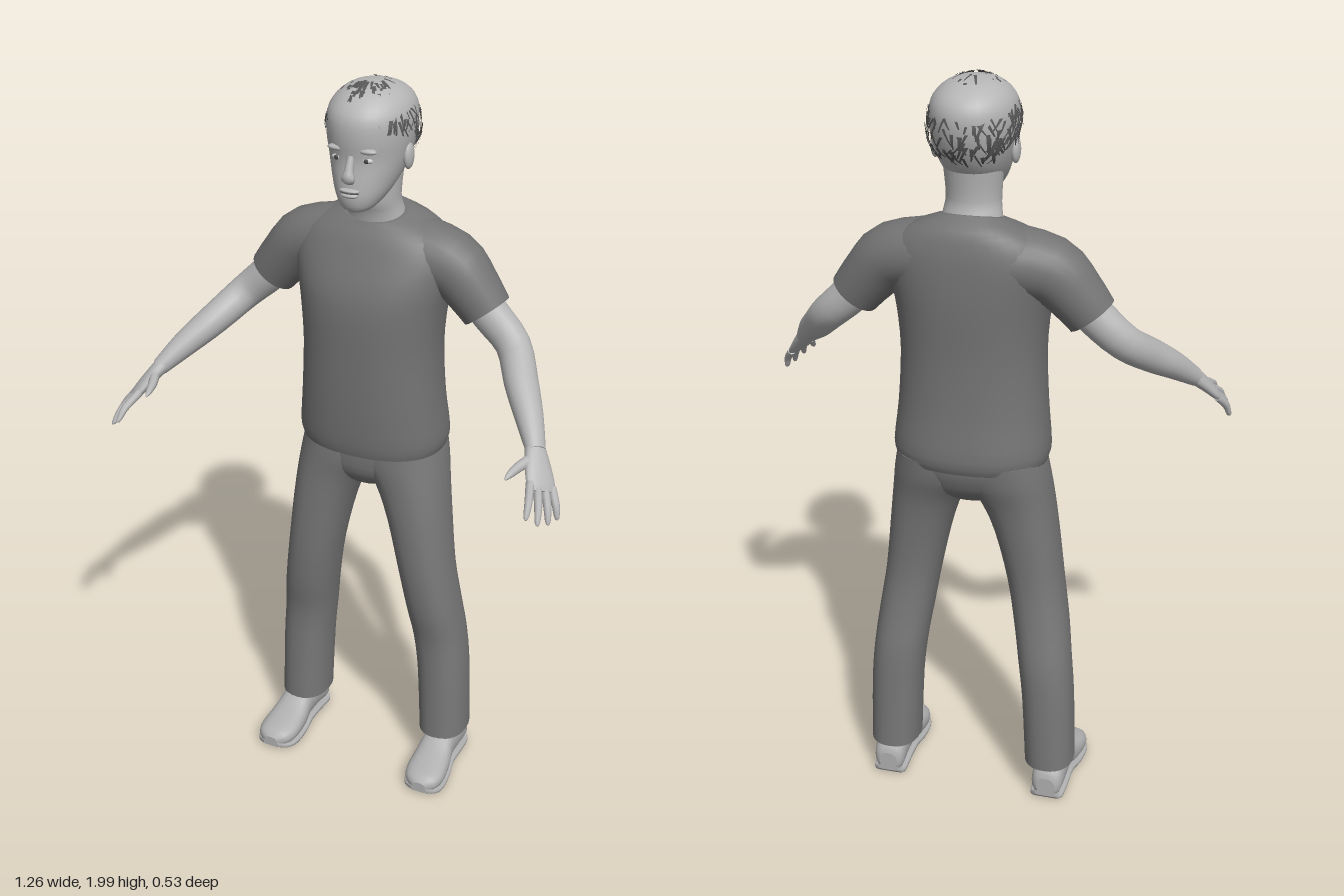
import * as THREE from 'three';

const mat = (name, color, side = THREE.FrontSide) => {
  const m = new THREE.MeshStandardMaterial({ color, side });
  m.name = name;
  return m;
};
const V = (x, y, z) => new THREE.Vector3(x, y, z);

// Resample rows of numbers with a spline so that few rows give smooth forms
function smooth(rows, k = 3) {
  const out = [];
  const n = rows.length;
  const at = i => rows[Math.max(0, Math.min(n - 1, i))];
  for (let i = 0; i < n - 1; i++) {
    for (let s = 0; s < k; s++) {
      const t = s / k;
      out.push(rows[i].map((p1, c) => {
        const p0 = at(i - 1)[c], p2 = at(i + 1)[c], p3 = at(i + 2)[c];
        return p1 + 0.5 * t * (p2 - p0 + t * (2 * p0 - 5 * p1 + 4 * p2 - p3 + t * (3 * (p1 - p2) + p3 - p0)));
      }));
    }
  }
  out.push(rows[n - 1]);
  return out;
}

// Skin over rounded rings { c, u, v } with closed ends; u x v points along the loft
function loft(rings, seg = 24, e = 2) {
  const pos = [], idx = [];
  const bend = a => Math.sign(a) * Math.pow(Math.abs(a), 2 / e);
  const addRing = r => {
    for (let j = 0; j < seg; j++) {
      const a = j / seg * Math.PI * 2;
      pos.push(...r.c.clone().addScaledVector(r.u, bend(Math.cos(a))).addScaledVector(r.v, bend(Math.sin(a))).toArray());
    }
  };
  rings.forEach(addRing);
  for (let i = 0; i < rings.length - 1; i++) {
    for (let j = 0; j < seg; j++) {
      const a = i * seg + j, b = i * seg + (j + 1) % seg;
      idx.push(a, b, b + seg, a, b + seg, a + seg);
    }
  }
  [rings[0], rings[rings.length - 1]].forEach((r, end) => {
    const s = pos.length / 3;
    addRing(r);
    pos.push(...r.c.toArray());
    for (let j = 0; j < seg; j++) {
      const a = s + j, b = s + (j + 1) % seg;
      idx.push(s + seg, end ? a : b, end ? b : a);
    }
  });
  const g = new THREE.BufferGeometry();
  g.setAttribute('position', new THREE.Float32BufferAttribute(pos, 3));
  g.setIndex(idx);
  g.computeVertexNormals();
  return g;
}

// Upright form from rows [y, xMin, xMax, zFront, zBack, tilt]
const upright = (rows, e = 2, seg = 32) => loft(smooth(rows).map(([y, x0, x1, zf, zb, tilt]) => ({
  c: V((x0 + x1) / 2, y, (zf + zb) / 2), u: V(0, tilt, (zf - zb) / 2), v: V((x1 - x0) / 2, 0, 0),
})), seg, e);

// Limb along points [x, y, z, radius along hint, other radius]
function limb(points, hint, seg = 16, k = 3) {
  const p = smooth(points, k), n = p.length;
  return loft(p.map((q, i) => {
    const a = p[Math.max(0, i - 1)], b = p[Math.min(n - 1, i + 1)];
    const t = V(b[0] - a[0], b[1] - a[1], b[2] - a[2]).normalize();
    const u = hint.clone().addScaledVector(t, -hint.dot(t)).normalize();
    const v = t.clone().cross(u).multiplyScalar(q[4]);
    return { c: V(q[0], q[1], q[2]), u: u.multiplyScalar(q[3]), v };
  }), seg);
}

// Mirrored copy of a geometry across x
function mirror(geo) {
  const g = geo.clone().scale(-1, 1, 1);
  const ix = g.index.array;
  for (let i = 0; i < ix.length; i += 3) [ix[i], ix[i + 1]] = [ix[i + 1], ix[i]];
  g.computeVertexNormals();
  return g;
}

const ball = (x, y, z, rx, ry, rz) => new THREE.SphereGeometry(1, 16, 12).scale(rx, ry, rz).translate(x, y, z);

// Short hair locks scattered over the crown
function hairLocks(count) {
  let seed = 7;
  const rnd = () => (seed = (seed * 16807) % 2147483647) / 2147483647;
  const pos = [], idx = [], steps = 4;
  const point = (th, ph, lift) => V(Math.sin(th) * Math.sin(ph) * 0.117 * lift,
    1.873 + Math.cos(th) * 0.123 * lift, -0.092 + Math.sin(th) * Math.cos(ph) * 0.14 * lift);
  for (let i = 0; i < count; i++) {
    const ph = rnd() * Math.PI * 2;
    const limit = 1.15 + 0.57 * (1 - Math.cos(ph));
    const th = 0.05 + limit * Math.sqrt(rnd()) * 0.88;
    const turn = (rnd() - 0.5) * 0.5, len = 0.2 + rnd() * 0.2, wide = 0.003 + rnd() * 0.003;
    const lift = 0.97 + rnd() * 0.045, s = pos.length / 3;
    for (let k = 0; k <= steps; k++) {
      const t = k / steps, a = Math.min(th + len * t, limit + 0.08), b = ph + turn * t;
      const c = point(a, b, lift - 0.03 * t * t);
      const side = V(Math.cos(b), 0, -Math.sin(b)).multiplyScalar(wide * (1 - 0.6 * t));
      pos.push(...c.clone().sub(side).toArray(), ...c.clone().add(side).toArray());
      if (k < steps) {
        const q = s + k * 2;
        idx.push(q, q + 2, q + 1, q + 1, q + 2, q + 3);
      }
    }
  }
  const g = new THREE.BufferGeometry();
  g.setAttribute('position', new THREE.Float32BufferAttribute(pos, 3));
  g.setIndex(idx);
  g.computeVertexNormals();
  return g;
}

export function createModel() {
  const root = new THREE.Group();
  root.name = 'standingPerson';
  const skin = mat('skin', 0xb6b6b6), shirt = mat('shirt', 0x747474), cloth = mat('trousers', 0x797979);
  const shoe = mat('shoe', 0xb0b0b0), hair = mat('hair', 0x585858, THREE.DoubleSide);
  const white = mat('eyeWhite', 0xc8c8c8), dark = mat('iris', 0x484848);
  const add = (name, geo, m) => {
    const mesh = new THREE.Mesh(geo, m);
    mesh.name = name;
    root.add(mesh);
  };
  const pair = (name, geo, m) => {
    add(name + 'Left', geo, m);
    add(name + 'Right', mirror(geo), m);
  };
  const even = rows => rows.map(([y, w, zf, zb, tilt = 0]) => [y, -w, w, zf, zb, tilt]);

  // Shirt
  add('shirtBody', upright(even([
    [1.01, 0.196, 0.03, -0.258], [1.05, 0.204, 0.038, -0.268], [1.16, 0.193, 0.044, -0.255], [1.3, 0.186, 0.045, -0.248],
    [1.41, 0.194, 0.043, -0.25], [1.48, 0.207, 0.03, -0.25], [1.55, 0.218, 0.0, -0.246], [1.6, 0.195, -0.025, -0.238],
    [1.635, 0.14, -0.045, -0.222, -0.008], [1.655, 0.083, -0.052, -0.185, -0.018],
  ]), 2.3, 40), shirt);
  pair('sleeve', limb([
    [0.09, 1.555, -0.135, 0.1, 0.09], [0.2, 1.535, -0.13, 0.085, 0.085],
    [0.26, 1.48, -0.127, 0.073, 0.074], [0.305, 1.425, -0.125, 0.062, 0.066],
  ], V(0, 0, 1), 24), shirt);

  // Trousers
  add('waist', upright(even([
    [0.9, 0.07, -0.03, -0.18], [0.94, 0.14, -0.005, -0.225], [1.0, 0.185, 0.002, -0.25], [1.04, 0.185, 0.0, -0.25],
  ]), 2.4), cloth);
  pair('trouserLeg', upright([
    [0.1, 0.155, 0.29, -0.045, -0.21, 0], [0.3, 0.145, 0.284, -0.045, -0.211, 0], [0.42, 0.132, 0.274, -0.04, -0.208, 0],
    [0.52, 0.117, 0.262, -0.02, -0.195, 0], [0.65, 0.095, 0.243, -0.005, -0.186, 0], [0.8, 0.06, 0.226, 0, -0.2, 0],
    [0.9, 0.02, 0.214, 0, -0.217, 0], [0.97, -0.03, 0.204, 0.002, -0.24, 0], [1.03, -0.03, 0.192, 0, -0.25, 0],
  ], 2.3, 28), cloth);

  // Shoes from rows [z, centre x, half width, bottom, top]
  const footRows = [
    [-0.205, 0.228, 0.026, 0.02, 0.07], [-0.19, 0.228, 0.042, 0.006, 0.1], [-0.13, 0.23, 0.045, 0.012, 0.13],
    [-0.07, 0.23, 0.046, 0.014, 0.115], [-0.02, 0.232, 0.054, 0.006, 0.085], [0.04, 0.235, 0.057, 0.004, 0.066],
    [0.075, 0.237, 0.045, 0.008, 0.055], [0.092, 0.238, 0.02, 0.016, 0.04],
  ];
  const foot = (rows, e) => loft(smooth(rows).map(([z, x, w, b, t]) => ({
    c: V(x, (b + t) / 2, z), u: V(w, 0, 0), v: V(0, (t - b) / 2, 0),
  })), 20, e);
  pair('shoe', foot(footRows, 2.4), shoe);
  pair('sole', foot(footRows.map(([z, x, w, b]) => [z, x, w + 0.003, b * 0.8 - 0.003, b * 0.8 + 0.013]), 5), shoe);

  // Arms and hands
  pair('arm', limb([
    [0.26, 1.48, -0.125, 0.045, 0.05], [0.315, 1.42, -0.122, 0.046, 0.05], [0.385, 1.355, -0.108, 0.043, 0.046],
    [0.44, 1.295, -0.03, 0.045, 0.042], [0.49, 1.243, 0.04, 0.037, 0.035], [0.535, 1.19, 0.105, 0.027, 0.023],
  ], V(0, 0, 1), 20), skin);
  const across = V(0.65, -0.39, -0.65);
  pair('palm', limb([
    [0.527, 1.2, 0.093, 0.026, 0.022], [0.55, 1.168, 0.13, 0.037, 0.018],
    [0.572, 1.135, 0.162, 0.042, 0.014], [0.58, 1.122, 0.175, 0.034, 0.009],
  ], across), skin);
  const tips = [[0.575, 1.09, 0.265], [0.6, 1.072, 0.25], [0.615, 1.06, 0.215], [0.625, 1.057, 0.178]];
  tips.forEach((tip, i) => {
    const base = V(0.573, 1.133, 0.163).addScaledVector(across, -0.032 + i * 0.0213);
    const end = V(...tip), mid = base.clone().lerp(end, 0.55).add(V(0.003, 0.005, 0.003));
    pair('finger' + (i + 1), limb([[...base, 0.011, 0.011], [...mid, 0.01, 0.01],
      [...base.clone().lerp(end, 0.9), 0.007, 0.007], [...end, 0.002, 0.002]], across, 8), skin);
  });
  pair('thumb', limb([[0.54, 1.183, 0.12, 0.016, 0.014], [0.518, 1.175, 0.168, 0.013, 0.012],
    [0.507, 1.168, 0.208, 0.009, 0.008], [0.504, 1.163, 0.226, 0.002, 0.002]], across, 10), skin);

  // Neck and head
  add('neck', upright(even([
    [1.61, 0.085, -0.06, -0.185], [1.66, 0.074, -0.05, -0.176], [1.7, 0.069, -0.035, -0.166], [1.78, 0.075, -0.03, -0.175],
  ])), skin);
  add('head', upright(even([
    [1.688, 0.022, 0.022, -0.03], [1.7, 0.043, 0.036, -0.06], [1.73, 0.065, 0.044, -0.12], [1.77, 0.083, 0.042, -0.172],
    [1.82, 0.098, 0.037, -0.205], [1.87, 0.106, 0.043, -0.222], [1.92, 0.106, 0.04, -0.224], [1.955, 0.09, 0.015, -0.205],
    [1.98, 0.056, -0.025, -0.16], [1.988, 0.008, -0.08, -0.1],
  ]), 2.1), skin);
  add('nose', limb([[0, 1.835, 0.033, 0.009, 0.009], [0, 1.8, 0.044, 0.012, 0.013],
    [0, 1.782, 0.049, 0.018, 0.013], [0, 1.77, 0.042, 0.012, 0.006]], V(1, 0, 0), 12), skin);
  add('upperLip', ball(0, 1.75, 0.041, 0.027, 0.006, 0.013), skin);
  add('lowerLip', ball(0, 1.738, 0.041, 0.023, 0.007, 0.013), skin);
  add('mouthLine', ball(0, 1.7445, 0.041, 0.025, 0.002, 0.011), dark);
  pair('ear', ball(0.1, 1.815, -0.085, 0.012, 0.034, 0.022), skin);
  pair('brow', ball(0.04, 1.85, 0.026, 0.026, 0.008, 0.013), skin);
  pair('eye', ball(0.04, 1.826, 0.025, 0.015, 0.007, 0.008), white);
  pair('iris', ball(0.04, 1.826, 0.031, 0.006, 0.006, 0.0035), dark);
  add('hair', hairLocks(380), hair);

  return root;
}
